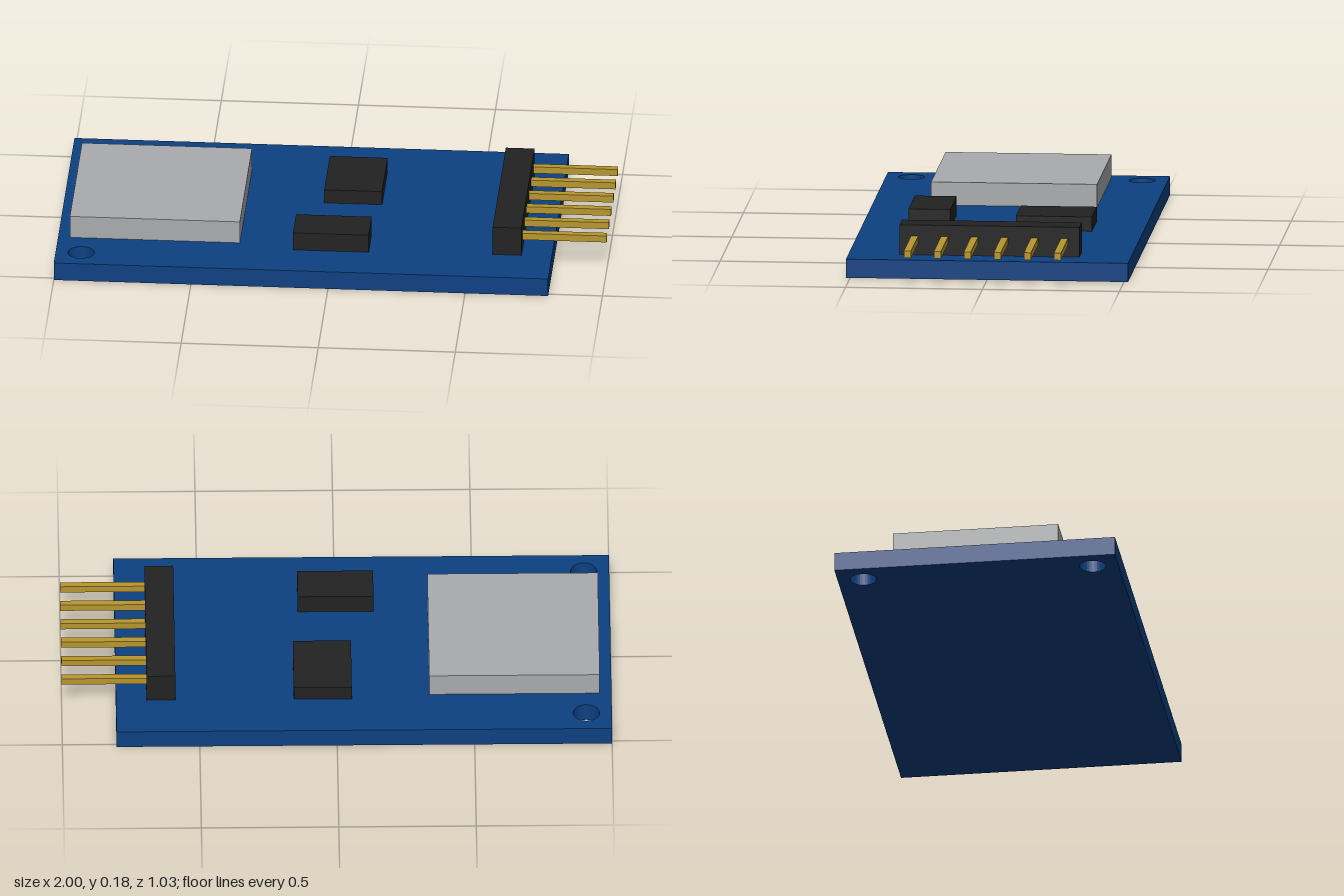
import * as THREE from 'three';

const material = (name, color) => {
  const m = new THREE.MeshStandardMaterial({ color });
  m.name = name;
  return m;
};

export function createModel() {
  const group = new THREE.Group();
  const blue = material('board blue', 0x0d4182);
  const black = material('plastic black', 0x222222);
  const silver = material('shield silver', 0xa9abae);
  const gold = material('pin gold', 0xb8972f);

  // Box given by its limits on each axis
  const block = (name, mat, [x0, x1], [y0, y1], [z0, z1]) => {
    const mesh = new THREE.Mesh(new THREE.BoxGeometry(x1 - x0, y1 - y0, z1 - z0), mat);
    mesh.position.set((x0 + x1) / 2, (y0 + y1) / 2, (z0 + z1) / 2);
    mesh.name = name;
    group.add(mesh);
  };

  // Circuit board with two mounting holes
  const top = 0.069, halfDepth = 0.515;
  const outline = new THREE.Shape([
    new THREE.Vector2(-1, -halfDepth), new THREE.Vector2(0.803, -halfDepth),
    new THREE.Vector2(0.803, halfDepth), new THREE.Vector2(-1, halfDepth),
  ]);
  for (const side of [-1, 1]) {
    outline.holes.push(new THREE.Path().absarc(-0.907, side * 0.421, 0.048, 0, Math.PI * 2, true));
  }
  const boardGeometry = new THREE.ExtrudeGeometry(outline, { depth: top, bevelEnabled: false, curveSegments: 16 });
  boardGeometry.rotateX(-Math.PI / 2);
  const board = new THREE.Mesh(boardGeometry, blue);
  board.name = 'circuitBoard';
  group.add(board);

  // Components on the board
  block('metalShield', silver, [-0.957, -0.337], [top, 0.154], [-0.305, 0.301]);
  block('squareChip', black, [-0.055, 0.156], [top, 0.122], [-0.328, -0.05]);
  block('wideChip', black, [-0.14, 0.136], [top, 0.138], [0.191, 0.344]);

  // Pin header
  block('headerBody', black, [0.587, 0.692], [top, 0.179], [-0.328, 0.328]);
  for (let i = 0; i < 6; i++) {
    const z = (i - 2.5) * 0.1095;
    block(`headerPin${i + 1}`, gold, [0.68, 1], [0.112, 0.138], [z - 0.013, z + 0.013]);
  }

  return group;
}
